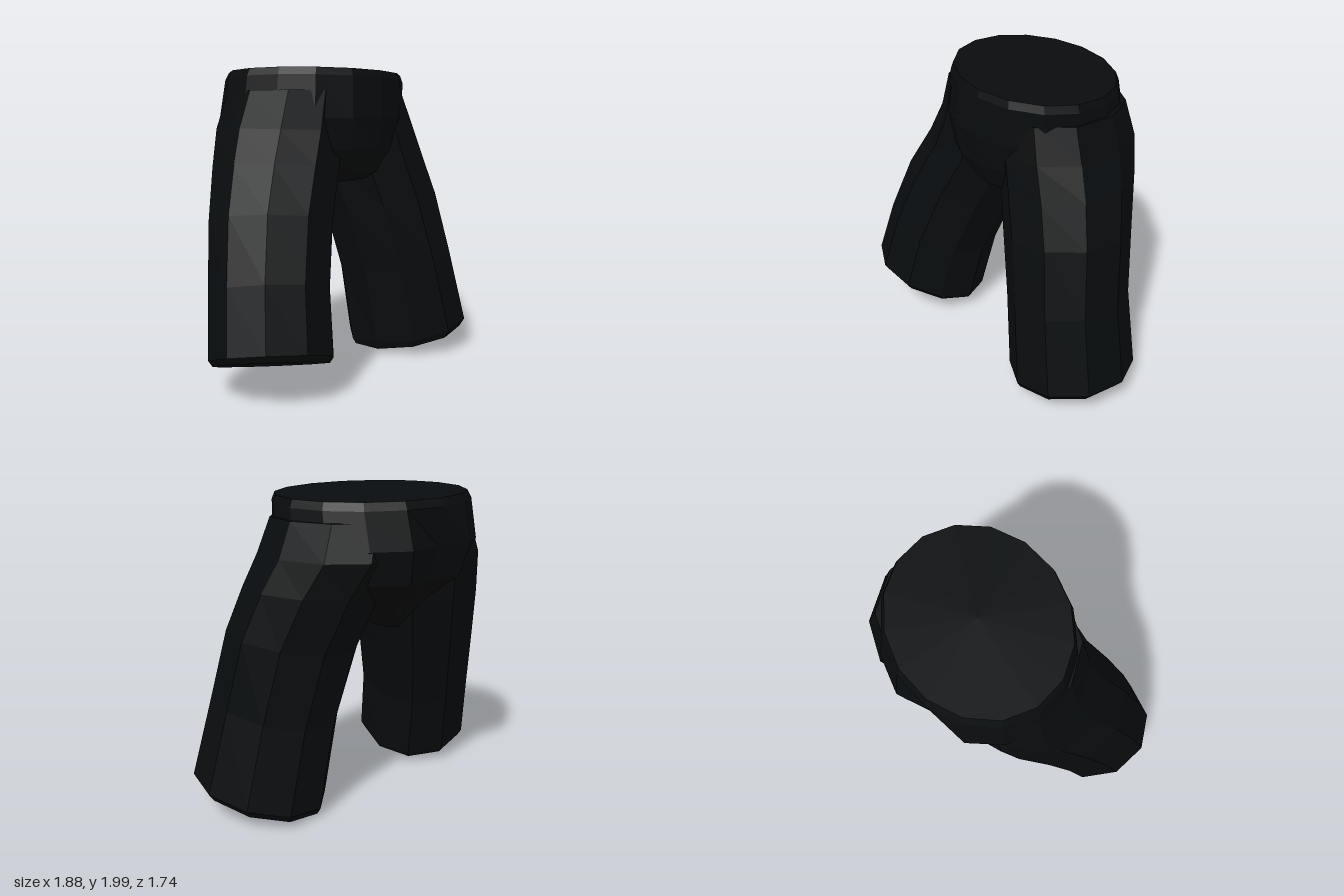
import * as THREE from 'three';

// Horizontal ellipse of points, tilted by slopes sx, sz; skew turns it sideways,
// notch pulls in the middle of the back.
function ring({ x = 0, y, z, rx, rz, sx = 0, sz = 0, skew = 0, notch = 0 }, n) {
  const pts = [];
  for (let i = 0; i < n; i++) {
    const a = (i / n) * Math.PI * 2;
    const dx = rx * Math.cos(a);
    let dz = rz * Math.sin(a) + skew * dx;
    if (Math.sin(a) < -0.999) dz += notch;
    pts.push([x + dx, y + dx * sx + dz * sz, z + dz]);
  }
  return pts;
}

// Closed skin over rings listed from top to bottom.
function loft(rings) {
  const n = rings[0].length;
  const pos = [];
  const tri = (a, b, c) => pos.push(...a, ...b, ...c);
  const centre = r => [0, 1, 2].map(k => r.reduce((s, p) => s + p[k], 0) / n);
  const top = rings[0], bottom = rings[rings.length - 1];
  const ct = centre(top), cb = centre(bottom);
  for (let i = 0; i < n; i++) {
    const j = (i + 1) % n;
    for (let k = 0; k < rings.length - 1; k++) {
      const [p, q] = [rings[k], rings[k + 1]];
      tri(p[i], p[j], q[i]);
      tri(p[j], q[j], q[i]);
    }
    tri(ct, top[j], top[i]);
    tri(cb, bottom[i], bottom[j]);
  }
  const geo = new THREE.BufferGeometry();
  geo.setAttribute('position', new THREE.Float32BufferAttribute(pos, 3));
  geo.computeVertexNormals();
  return geo;
}

export function createModel() {
  const group = new THREE.Group();
  group.name = 'trousers';
  const cloth = new THREE.MeshStandardMaterial({ color: 0x090c0e, flatShading: true });
  const add = (name, sections, n) => {
    const mesh = new THREE.Mesh(loft(sections.map(s => ring(s, n))), cloth);
    mesh.name = name;
    group.add(mesh);
  };

  // Hips: flat waist, rounded seat with a centre crease, narrowing to the crotch
  add('hips', [
    { x: 0.03, y: 1.967, z: -0.285, rx: 0.57, rz: 0.52, sx: -0.04, sz: 0.025, skew: 0.14 },
    { x: 0.03, y: 1.92, z: -0.29, rx: 0.59, rz: 0.54, sx: -0.04, sz: 0.025, skew: 0.14 },
    { x: 0.02, y: 1.68, z: -0.31, rx: 0.62, rz: 0.57, skew: 0.1, notch: 0.08 },
    { x: 0.02, y: 1.48, z: -0.3, rx: 0.55, rz: 0.53, skew: 0.06, notch: 0.09 },
    { x: 0.05, y: 1.32, z: -0.25, rx: 0.33, rz: 0.41, notch: 0.04 },
    { x: 0.06, y: 1.22, z: -0.23, rx: 0.14, rz: 0.32, sz: 0.18 },
  ], 16);

  // Left leg, from inside the hips down to the tilted hem with a small turned-in edge
  add('leftLeg', [
    { x: 0.28, y: 1.83, z: -0.24, rx: 0.37, rz: 0.44 },
    { x: 0.34, y: 1.62, z: -0.23, rx: 0.39, rz: 0.48 },
    { x: 0.41, y: 1.4, z: -0.16, rx: 0.4, rz: 0.45, sx: 0.06 },
    { x: 0.49, y: 1.1, z: -0.07, rx: 0.4, rz: 0.42, sx: 0.1, sz: 0.08 },
    { x: 0.58, y: 0.65, z: 0.01, rx: 0.38, rz: 0.42, sx: 0.14, sz: 0.12 },
    { x: 0.68, y: 0.13, z: 0.06, rx: 0.4, rz: 0.45, sx: 0.15, sz: 0.13 },
    { x: 0.67, y: 0.08, z: 0.06, rx: 0.37, rz: 0.42, sx: 0.15, sz: 0.13 },
  ], 10);

  // Right leg, slightly more raised outward
  add('rightLeg', [
    { x: -0.24, y: 1.85, z: -0.33, rx: 0.34, rz: 0.43 },
    { x: -0.29, y: 1.6, z: -0.35, rx: 0.37, rz: 0.46, sx: -0.04 },
    { x: -0.37, y: 1.35, z: -0.31, rx: 0.39, rz: 0.44, sx: -0.12, sz: 0.06 },
    { x: -0.52, y: 1.03, z: -0.22, rx: 0.39, rz: 0.41, sx: -0.2, sz: 0.14 },
    { x: -0.66, y: 0.62, z: -0.12, rx: 0.38, rz: 0.39, sx: -0.25, sz: 0.22 },
    { x: -0.74, y: 0.22, z: -0.04, rx: 0.395, rz: 0.39, sx: -0.28, sz: 0.25 },
    { x: -0.735, y: 0.18, z: -0.045, rx: 0.37, rz: 0.365, sx: -0.28, sz: 0.25 },
  ], 10);

  // The wearer is turned an eighth of a circle
  group.rotation.y = Math.PI / 4;
  const model = new THREE.Group();
  model.name = 'model';
  model.add(group);
  return model;
}
